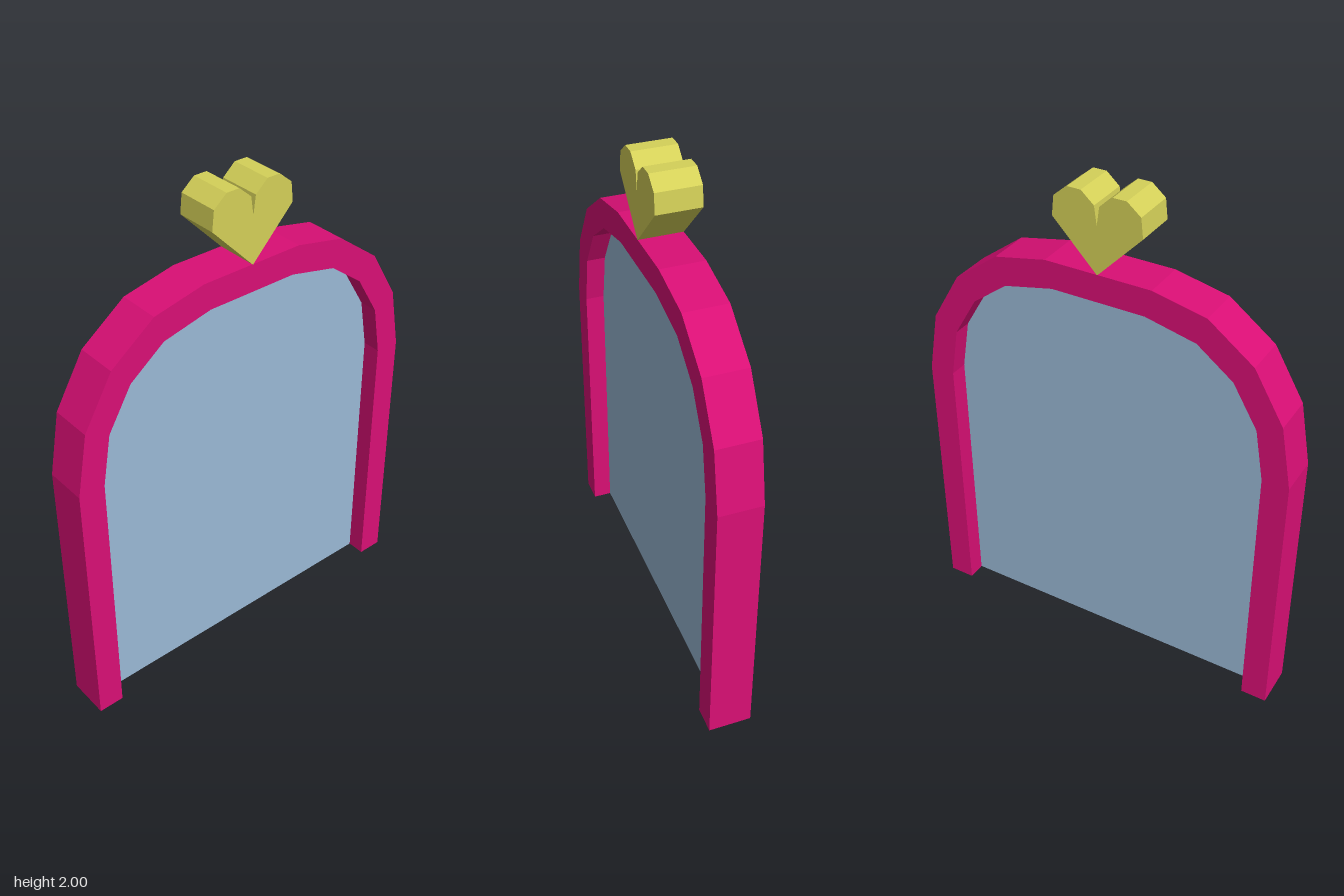
import * as THREE from 'three';

// Right halves of the outlines, listed from bottom to top
const OUTER = [[0.76, 0], [0.76, 1.08], [0.715, 1.325], [0.597, 1.525], [0.418, 1.658], [0.21, 1.702]];
const INNER = [[0.657, 0], [0.657, 1.08], [0.622, 1.28], [0.525, 1.443], [0.383, 1.55], [0.185, 1.595]];
const HEART = [[0.174, 1.88], [0.166, 1.956], [0.113, 2], [0.06, 2], [0.01, 1.956]];

const DEPTH = 0.168;
const PANE_DEPTH = 0.02;

const mirror = (half) => half.map(([x, y]) => [-x, y]).reverse();

// Extrudes an outline, centred on z = 0
function slab(name, points, depth, material) {
  const shape = new THREE.Shape(points.map(([x, y]) => new THREE.Vector2(x, y)));
  const geometry = new THREE.ExtrudeGeometry(shape, { depth, bevelEnabled: false });
  geometry.translate(0, 0, -depth / 2);
  const mesh = new THREE.Mesh(geometry, material);
  mesh.name = name;
  return mesh;
}

function flat(name, color) {
  const material = new THREE.MeshStandardMaterial({ color, flatShading: true });
  material.name = name;
  return material;
}

export function createModel() {
  const pink = flat('pink', 0xd90f75);
  const blue = flat('paleBlue', 0x9ab9d5);
  const gold = flat('gold', 0xd4d058);

  const group = new THREE.Group();
  group.name = 'archedMirror';

  // Arched frame, open at the bottom
  const arch = [...OUTER, ...mirror(OUTER), ...mirror([...INNER]).reverse(), ...[...INNER].reverse()];
  group.add(slab('frame', arch, DEPTH, pink));

  // Thin pane filling the arch
  group.add(slab('pane', [...INNER, ...mirror(INNER)], PANE_DEPTH, blue));

  // Heart standing on its tip above the arch
  const heart = [[0, 1.7], ...HEART, [0, 1.885], ...mirror(HEART)];
  group.add(slab('heart', heart, DEPTH, gold));

  return group;
}
